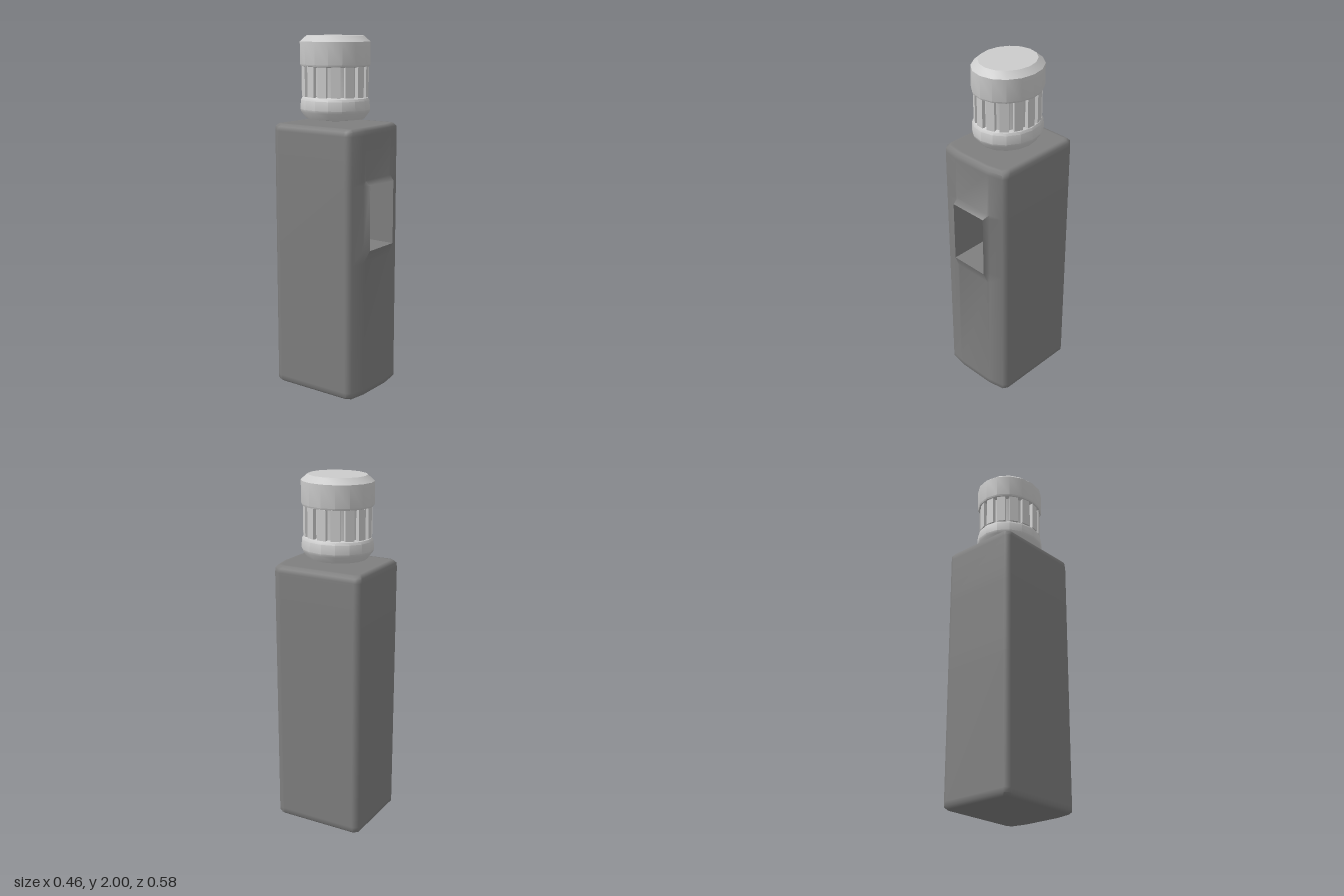
import * as THREE from 'three';
import { toCreasedNormals } from 'three/addons/utils/BufferGeometryUtils.js';

const bodyMat = new THREE.MeshStandardMaterial({ color: 0x7f7f7f });
const lightMat = new THREE.MeshStandardMaterial({ color: 0xcccccc });

// Bottle plan: an ellipse
const RX = 0.183, RZ = 0.204;

function add(parent, name, geometry, material) {
  const mesh = new THREE.Mesh(geometry, material);
  mesh.name = name;
  parent.add(mesh);
  return mesh;
}

// Skins a stack of equal-length loops, skipping collapsed triangles
function loft(loops, crease) {
  const pos = [];
  const tri = (a, b, c) => {
    const area = b.clone().sub(a).cross(c.clone().sub(a)).length();
    if (area > 1e-9) for (const p of [a, b, c]) pos.push(p.x, p.y, p.z);
  };
  for (let k = 0; k < loops.length - 1; k++) {
    const lo = loops[k], hi = loops[k + 1], n = lo.length;
    for (let i = 0; i < n; i++) {
      const j = (i + 1) % n;
      tri(lo[i], hi[i], lo[j]);
      tri(lo[j], hi[i], hi[j]);
    }
  }
  const g = new THREE.BufferGeometry();
  g.setAttribute('position', new THREE.Float32BufferAttribute(pos, 3));
  return toCreasedNormals(g, crease);
}

// Plan of the cabinet: frontZ sets the niche rim, nicheZ the niche's back wall
function cabinetLoop(y, inset, frontZ = 0.261, nicheZ = frontZ) {
  const half = [
    [0.2, -0.288], [0.212, -0.288], [0.23, -0.262], [0.23, -0.25],
    [0.23, 0.2], [0.23, 0.215], [0.212, 0.243], [0.13, 0.258],
    [0.113, frontZ], [0.113, nicheZ],
  ];
  const all = [...half, ...half.map(([x, z]) => [-x, z]).reverse()];
  const sx = 1 - inset / 0.23, sz = 1 - inset / 0.275;
  return all.map(([x, z]) => new THREE.Vector3(x * sx, y, (z + 0.013) * sz - 0.013));
}

function buildCabinet(group) {
  const collapsed = (y) => cabinetLoop(y, 0).map(() => new THREE.Vector3(0, y, -0.013));
  const loops = [
    collapsed(0),
    cabinetLoop(0, 0.03),
    cabinetLoop(0, 0.014),
    cabinetLoop(0.014, 0),
    cabinetLoop(0.04, 0),
    cabinetLoop(0.78, 0),
    // flared rim, niche floor, niche ceiling, flared rim
    cabinetLoop(0.85, 0, 0.29),
    cabinetLoop(0.85, 0, 0.29, 0.06),
    cabinetLoop(1.21, 0, 0.29, 0.06),
    cabinetLoop(1.21, 0, 0.29),
    cabinetLoop(1.235, 0),
    cabinetLoop(1.48, 0),
    cabinetLoop(1.504, 0.002),
    cabinetLoop(1.52, 0.016),
    cabinetLoop(1.52, 0.03),
    collapsed(1.52),
  ];
  add(group, 'cabinet', loft(loops, 1.0), bodyMat);
}

function buildTaps(group) {
  for (const x of [-0.047, 0.043]) {
    const tap = new THREE.Group();
    tap.name = 'tap';
    tap.position.set(x, 1.124, 0.06);
    add(tap, 'tapPlate', new THREE.BoxGeometry(0.069, 0.069, 0.008), lightMat).position.z = 0.004;
    const spout = add(tap, 'tapSpout', new THREE.CylinderGeometry(0.007, 0.007, 0.03, 8), bodyMat);
    spout.rotation.x = Math.PI / 2;
    spout.position.z = 0.02;
    add(tap, 'tapNozzle', new THREE.CylinderGeometry(0.008, 0.006, 0.028, 8), bodyMat).position.set(0, -0.012, 0.032);
    const lever = add(tap, 'tapLever', new THREE.BoxGeometry(0.007, 0.03, 0.007), bodyMat);
    lever.position.set(0, 0.015, 0.032);
    group.add(tap);
  }
}

function buildBottle(group) {
  const bottle = new THREE.Group();
  bottle.name = 'bottle';
  bottle.position.set(-0.006, 0, -0.025);

  // Shell: low cone base, lower ring, recessed waist, upper band, bevelled top
  const profile = [
    [0, 1.527], [0.83, 1.548], [0.97, 1.585], [1, 1.6], [0.98, 1.65], [0.94, 1.663],
    [0.85, 1.672], [0.85, 1.83], [0.98, 1.836], [1, 1.845], [1, 1.968], [0.81, 2], [0, 2],
  ].map(([r, y]) => new THREE.Vector2(r, y));
  const shell = new THREE.LatheGeometry(profile, 16).scale(RX, 1, RZ);
  add(bottle, 'bottleShell', toCreasedNormals(shell, 0.5), lightMat);

  // Raised panels around the waist
  const count = 15;
  for (let i = 0; i < count; i++) {
    const panel = new THREE.BoxGeometry(0.25, 0.165, 0.14)
      .translate(0, 1.7515, 0.865)
      .rotateY(THREE.MathUtils.degToRad(-7) + (i * 2 * Math.PI) / count)
      .scale(RX, 1, RZ);
    panel.computeVertexNormals();
    add(bottle, 'waistPanel', panel, lightMat);
  }
  group.add(bottle);
}

export function createModel() {
  const group = new THREE.Group();
  group.name = 'waterCooler';
  buildCabinet(group);
  buildTaps(group);
  buildBottle(group);
  return group;
}
